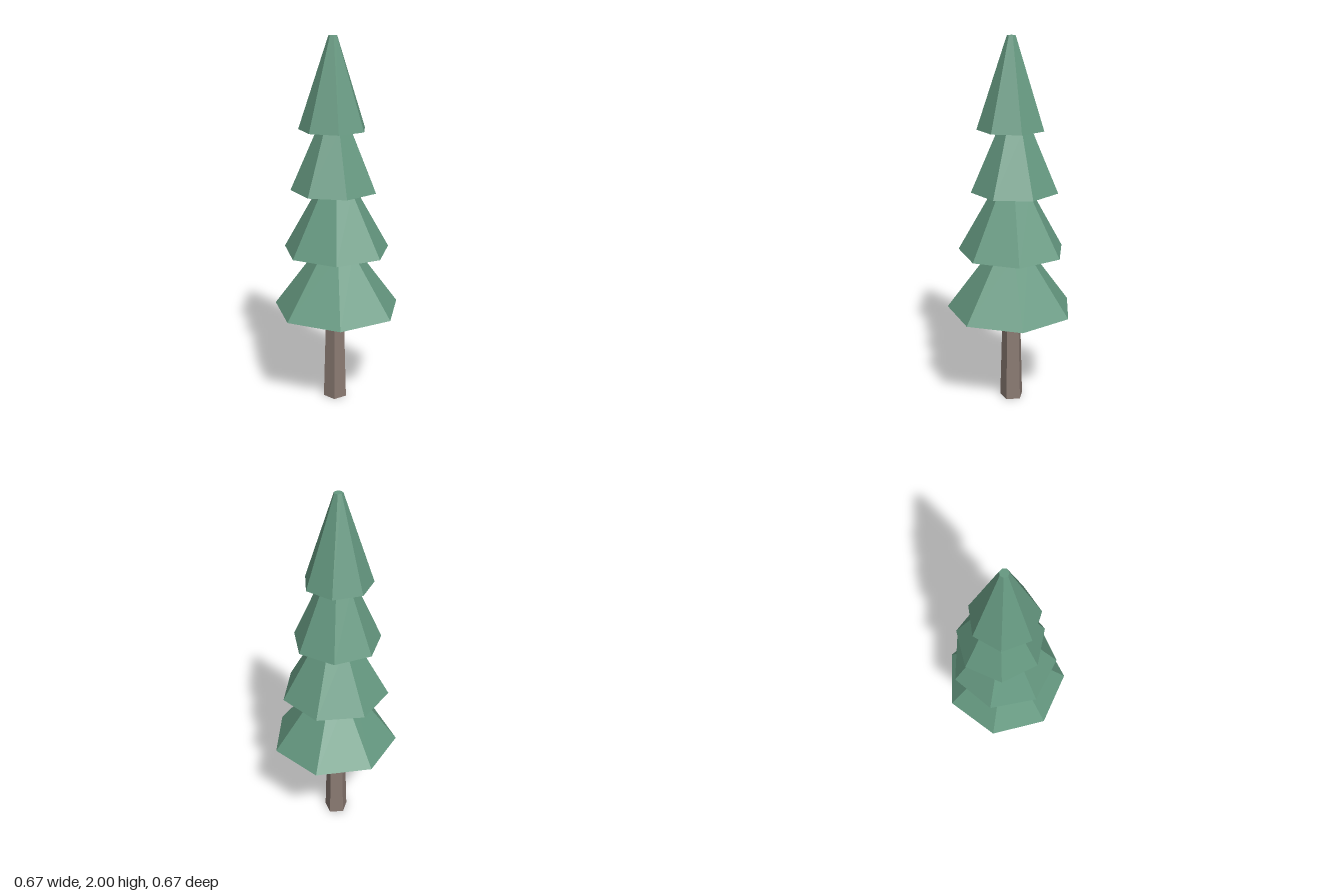
import * as THREE from 'three';

const green = new THREE.MeshStandardMaterial({ color: 0x659880, flatShading: true });
const brown = new THREE.MeshStandardMaterial({ color: 0x8a7a72, flatShading: true });

// Low-poly tapered prism between two heights; turn is the angle of its first corner from +z.
function frustum(name, material, sides, { y0, y1, r0, r1, x, z, turn }) {
  const geometry = new THREE.CylinderGeometry(r1, r0, y1 - y0, sides, 1, false, turn);
  const mesh = new THREE.Mesh(geometry, material);
  mesh.name = name;
  mesh.position.set(x, (y0 + y1) / 2, z);
  return mesh;
}

export function createModel() {
  const tree = new THREE.Group();
  tree.name = 'pineTree';

  // Five-sided trunk, ending just inside the lowest tier
  tree.add(frustum('trunk', brown, 5,
    { y0: 0, y1: 0.56, r0: 0.066, r1: 0.05, x: -0.002, z: -0.014, turn: 0 }));

  // Seven-sided foliage tiers from bottom to top, each slightly turned and off centre
  const foliage = new THREE.Group();
  foliage.name = 'foliage';
  const tiers = [
    { y0: 0.54, y1: 0.87, r0: 0.347, r1: 0.106, x: 0.008, z: -0.009, turn: 0.122 },
    { y0: 0.87, y1: 1.2, r0: 0.29, r1: 0.105, x: 0.005, z: -0.016, turn: 0.069 },
    { y0: 1.2, y1: 1.525, r0: 0.234, r1: 0.092, x: -0.006, z: -0.029, turn: 0.345 },
    { y0: 1.525, y1: 2, r0: 0.181, r1: 0.023, x: -0.013, z: -0.009, turn: 0.237 },
  ];
  tiers.forEach((tier, i) => foliage.add(frustum(`foliageTier${i + 1}`, green, 7, tier)));
  tree.add(foliage);

  return tree;
}
